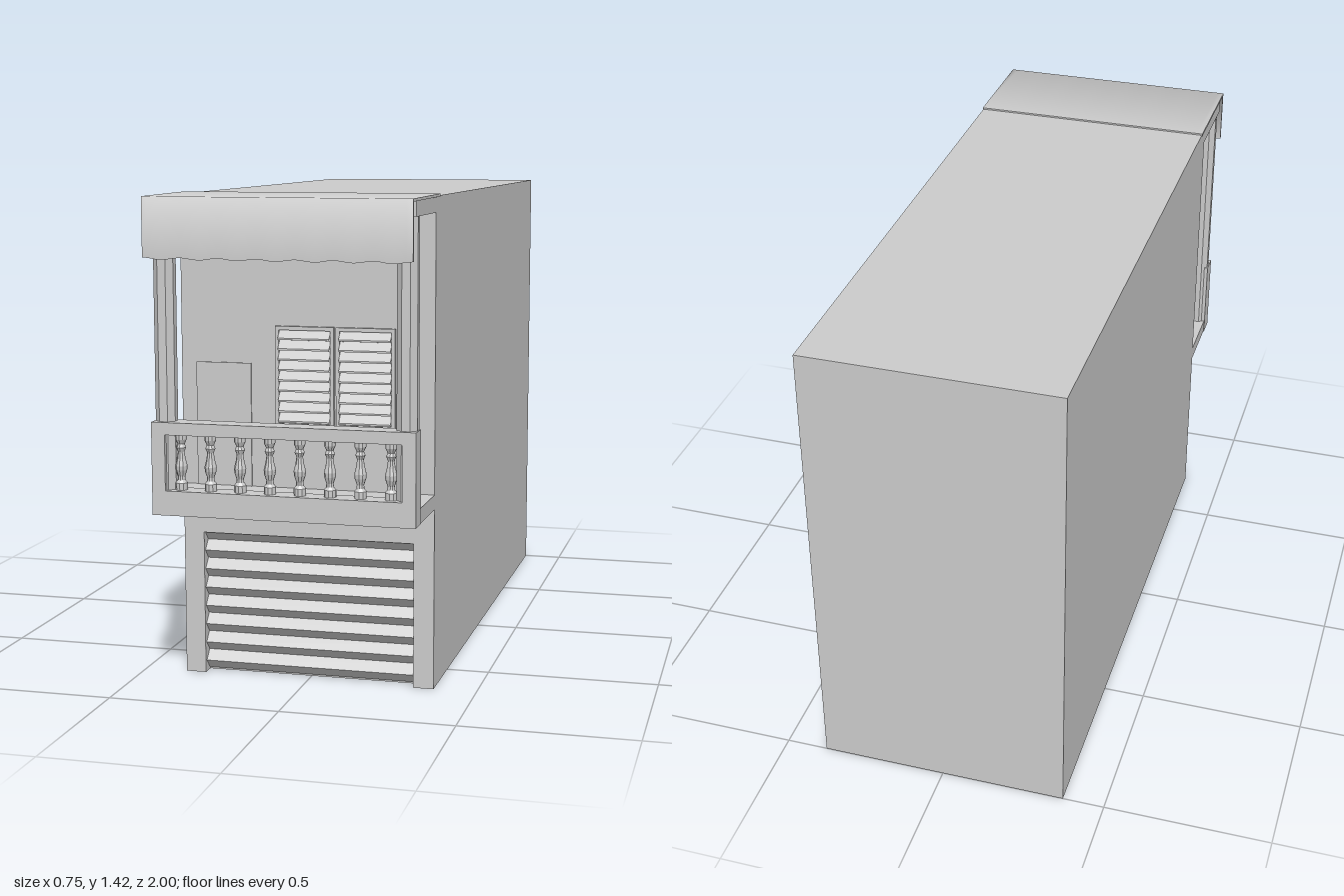
import * as THREE from 'three';

const grey = new THREE.MeshStandardMaterial({ color: 0xcccccc });
const faceted = new THREE.MeshStandardMaterial({ color: 0xcccccc, flatShading: true });
const twoSided = new THREE.MeshStandardMaterial({ color: 0xcccccc, side: THREE.DoubleSide });

function add(parent, name, geometry, material = grey) {
  const mesh = new THREE.Mesh(geometry, material);
  mesh.name = name;
  parent.add(mesh);
  return mesh;
}

// Box given by its limits on each axis
function box(parent, name, x0, x1, y0, y1, z0, z1) {
  const mesh = add(parent, name, new THREE.BoxGeometry(x1 - x0, y1 - y0, z1 - z0));
  mesh.position.set((x0 + x1) / 2, (y0 + y1) / 2, (z0 + z1) / 2);
  return mesh;
}

function group(parent, name) {
  const g = new THREE.Group();
  g.name = name;
  parent.add(g);
  return g;
}

const shapeOf = (points) => new THREE.Shape(points.map(([x, y]) => new THREE.Vector2(x, y)));

// Outline in x, y pushed from z0 to z1
function extrudeZ(shape, z0, z1) {
  return new THREE.ExtrudeGeometry(shape, { depth: z1 - z0, bevelEnabled: false }).translate(0, 0, z0);
}

// Outline in z, y pushed from x0 to x1
function extrudeX(points, x0, x1) {
  const shape = shapeOf(points.map(([z, y]) => [-z, y]));
  return new THREE.ExtrudeGeometry(shape, { depth: x1 - x0, bevelEnabled: false })
    .rotateY(Math.PI / 2).translate(x0, 0, 0);
}

// Smooth surface through rows of equally many points
function sheet(rows) {
  const n = rows[0].length;
  const index = [];
  for (let r = 0; r < rows.length - 1; r++) {
    for (let c = 0; c < n - 1; c++) {
      const a = r * n + c, b = a + n;
      index.push(a, b, a + 1, b, b + 1, a + 1);
    }
  }
  const geometry = new THREE.BufferGeometry();
  geometry.setAttribute('position', new THREE.Float32BufferAttribute(rows.flat(2), 3));
  geometry.setIndex(index);
  geometry.computeVertexNormals();
  return geometry;
}

function addGarage(model) {
  // Folded door: bands facing down and up in turn
  const bands = 15, top = 0.425, step = (top - 0.006) / bands;
  const profile = [[0.655, top]];
  for (let i = 0; i <= bands; i++) profile.push([i % 2 ? 0.664 : 0.69, top - i * step]);
  profile.push([0.655, top - bands * step]);
  add(model, 'garageDoor', extrudeX(profile, -0.315, 0.315), faceted);
}

function addShutter(parent, name, x0, x1) {
  const shutter = group(parent, name);
  const y0 = 0.75, y1 = 1.04, rim = 0.011;
  const frame = shapeOf([[x0, y0], [x1, y0], [x1, y1], [x0, y1]]);
  const a = x0 + rim, b = x1 - rim, c = y0 + rim, d = y1 - rim;
  frame.holes.push(shapeOf([[a, c], [a, d], [b, d], [b, c]]));
  add(shutter, 'shutterFrame', extrudeZ(frame, 0.699, 0.711));
  // Slats lean outward at the bottom
  const count = 9, pitch = (d - c) / count;
  for (let i = 0; i < count; i++) {
    const y = d - i * pitch;
    add(shutter, 'shutterSlat', extrudeX([
      [0.7, y], [0.722, y - 0.022], [0.722, y - 0.027], [0.7, y - 0.005],
    ], a, b));
  }
}

function addBalcony(model) {
  const balcony = group(model, 'balcony');
  box(balcony, 'balconyFloor', -0.375, 0.375, 0.527, 0.57, 0.7, 0.9);

  // Parapet with one long opening
  const wall = shapeOf([[-0.377, 0.527], [0.377, 0.527], [0.377, 0.79], [-0.377, 0.79]]);
  wall.holes.push(shapeOf([[-0.338, 0.597], [-0.338, 0.755], [0.338, 0.755], [0.338, 0.597]]));
  add(balcony, 'parapet', extrudeZ(wall, 0.893, 0.955));

  // Turned balusters
  const profile = [
    [0.017, 0], [0.017, 0.02], [0.011, 0.028], [0.01, 0.038], [0.016, 0.056], [0.017, 0.068],
    [0.012, 0.088], [0.009, 0.108], [0.014, 0.12], [0.01, 0.13], [0.016, 0.143], [0.016, 0.158],
  ].map(([r, y]) => new THREE.Vector2(r, y));
  const baluster = new THREE.LatheGeometry(profile, 10);
  for (let i = 0; i < 8; i++) {
    add(balcony, 'baluster', baluster, faceted).position.set(-0.301 + i * 0.086, 0.597, 0.923);
  }

  // Eight-sided corner columns
  const column = new THREE.CylinderGeometry(0.031, 0.031, 0.797, 8).rotateY(Math.PI / 8);
  for (const side of [-1, 1]) {
    add(balcony, 'column', column, faceted).position.set(side * 0.345, 0.9685, 0.913);
  }
  box(balcony, 'balconyCeiling', -0.375, 0.375, 1.366, 1.408, 0.7, 0.953);
}

function addAwning(model) {
  const awning = group(model, 'awning');
  const cuts = 42, half = 0.377, thick = 0.008;
  // Rows run along x; the lowest one is gently scalloped
  const row = (z, y, wave = 0) => Array.from({ length: cuts + 1 }, (_, i) => {
    const t = i / cuts;
    return [half * (2 * t - 1), y + wave * Math.cos(t * 7 * 2 * Math.PI), z];
  });
  const outer = [row(0.65, 1.417), row(1, 1.415), row(1, 1.247, 0.003)];
  const inner = [row(0.65, 1.409), row(1 - thick, 1.407), row(1 - thick, 1.247, 0.003)];
  add(awning, 'awningTop', sheet(outer), twoSided);
  add(awning, 'awningLining', sheet([...inner].reverse()), twoSided);
  add(awning, 'awningHem', sheet([outer[2], inner[2]]), twoSided);
  add(awning, 'awningBackEdge', sheet([inner[0], outer[0]]), twoSided);
  const edge = [[0.65, 1.417], [1, 1.415], [1, 1.25], [1 - thick, 1.25], [1 - thick, 1.407], [0.65, 1.409]];
  for (const x of [-half, half - 0.001]) {
    add(awning, 'awningSideEdge', extrudeX(edge, x, x + 0.001));
  }
}

export function createModel() {
  const model = new THREE.Group();
  model.name = 'balconyHouse';

  // Main block, with a recess for the garage at the front
  box(model, 'houseBody', -0.375, 0.375, 0, 1.412, -1, 0.66);
  const front = shapeOf([
    [-0.375, 0], [-0.315, 0], [-0.315, 0.425], [0.315, 0.425],
    [0.315, 0], [0.375, 0], [0.375, 1.412], [-0.375, 1.412],
  ]);
  add(model, 'frontWall', extrudeZ(front, 0.66, 0.7));
  addGarage(model);

  // Balcony door and its knob
  box(model, 'balconyDoor', -0.33, -0.165, 0.57, 0.93, 0.699, 0.704);
  add(model, 'doorKnob', new THREE.SphereGeometry(0.008, 12, 8)).position.set(-0.185, 0.745, 0.709);

  const windowGroup = group(model, 'shutteredWindow');
  addShutter(windowGroup, 'rightShutter', -0.09, 0.083);
  addShutter(windowGroup, 'leftShutter', 0.089, 0.262);

  addBalcony(model);
  addAwning(model);
  return model;
}
